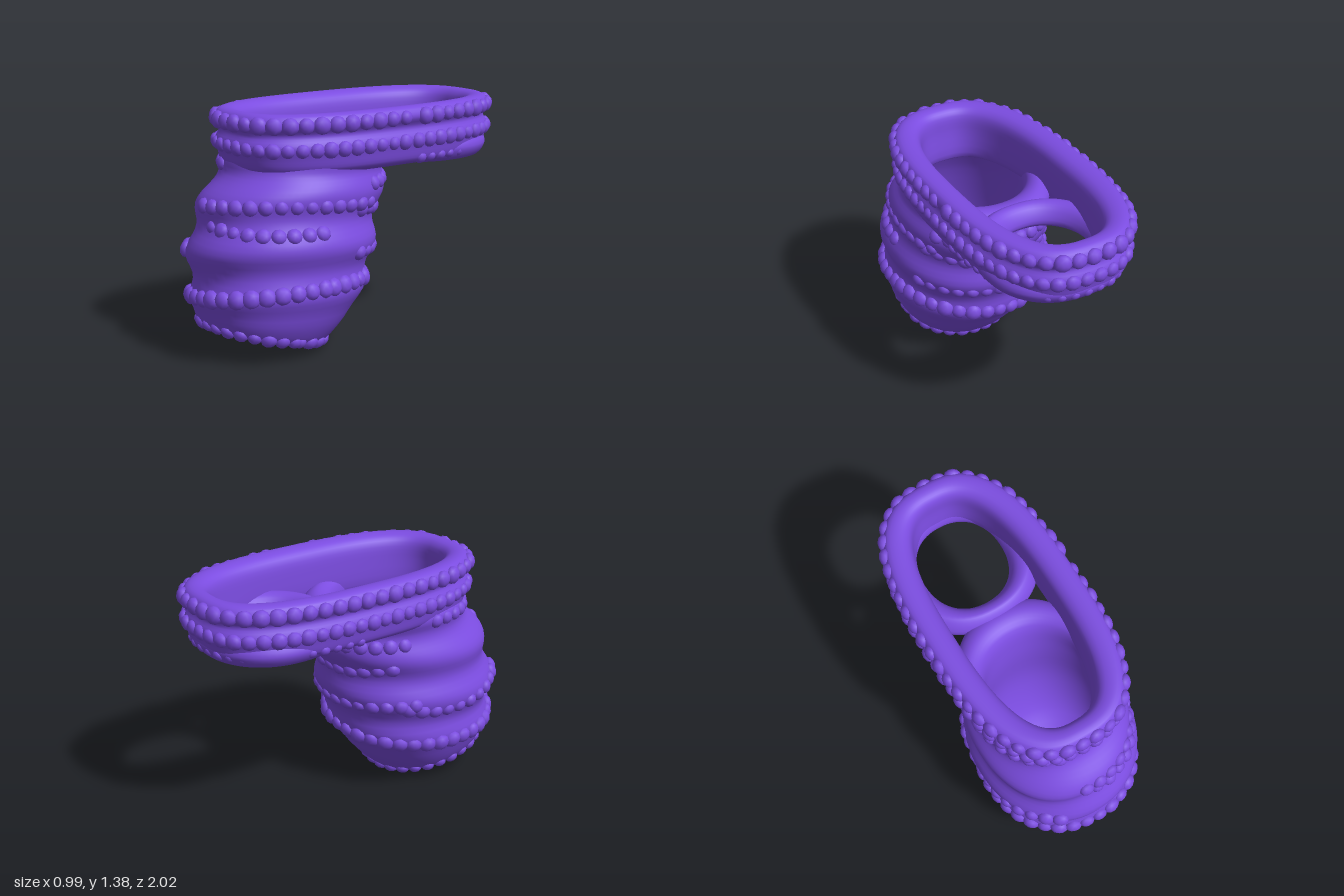
import * as THREE from 'three';
import { mergeGeometries } from 'three/addons/utils/BufferGeometryUtils.js';

const TAU = Math.PI * 2;
const rad = d => d * Math.PI / 180;

// Surface swept through tilted oval sections: [yFront, zFront, yBack, zBack, halfWidth]
// u counts rows, a is the angle (0 = left side, 90 degrees = front)
function ovalSurface(rows, power, relief = () => 0) {
  const n = rows.length;
  const front = new THREE.CatmullRomCurve3(rows.map(r => new THREE.Vector3(r[4], r[0], r[1])), true);
  const back = new THREE.CatmullRomCurve3(rows.map(r => new THREE.Vector3(r[4], r[2], r[3])), true);
  const bend = v => Math.sign(v) * Math.pow(Math.abs(v), power);
  const point = (u, a) => {
    const t = (((u % n) + n) % n) / n;
    const f = front.getPoint(t), b = back.getPoint(t);
    const c = bend(Math.cos(a)), s = bend(Math.sin(a));
    const y = (f.y + b.y) / 2 + (f.y - b.y) / 2 * s;
    const d = relief(t * n, a, y);
    return new THREE.Vector3((f.x + d) * c, y, (f.z + b.z) / 2 + ((f.z - b.z) / 2 + d) * s);
  };
  return { n, point };
}

// Closed mesh geometry over such a surface
function skin(surface, steps, sides) {
  const rows = surface.n * steps, pos = [], index = [];
  for (let r = 0; r < rows; r++) {
    for (let s = 0; s < sides; s++) {
      pos.push(...surface.point(r / steps, s / sides * TAU).toArray());
      const r2 = (r + 1) % rows, s2 = (s + 1) % sides;
      const p = r * sides + s, q = r2 * sides + s, w = r2 * sides + s2, v = r * sides + s2;
      index.push(p, q, w, p, w, v);
    }
  }
  const g = new THREE.BufferGeometry();
  g.setAttribute('position', new THREE.Float32BufferAttribute(pos, 3));
  g.setIndex(index);
  g.computeVertexNormals();
  return g;
}

// Row number at which the outer side of a surface reaches a height
function rowAt(surface, a, y, lo, hi) {
  for (let i = 0; i < 24; i++) {
    const mid = (lo + hi) / 2;
    if (surface.point(mid, a).y < y) lo = mid; else hi = mid;
  }
  return lo;
}

let seed = 7;
const random = () => (seed = (seed * 16807) % 2147483647) / 2147483647;

// String of flattened lumps along a path u(a)
function beadRow(surface, uOf, from, to, size, gap) {
  const bead = new THREE.IcosahedronGeometry(1, 1);
  const parts = [], holder = new THREE.Object3D();
  let last = null;
  for (let a = rad(from); a < rad(to); a += 0.004) {
    const u = uOf(a), p = surface.point(u, a);
    if (last && p.distanceTo(last) < gap) continue;
    last = p;
    const along = surface.point(u, a + 0.02).sub(surface.point(u, a - 0.02));
    const up = surface.point(u + 0.05, a).sub(surface.point(u - 0.05, a));
    const normal = up.cross(along).normalize();
    const s = size * (0.88 + 0.24 * random());
    holder.position.copy(p).addScaledVector(normal, -0.008);
    holder.lookAt(p.clone().add(normal));
    holder.rotateZ(random() * TAU);
    holder.scale.set(s, s, s * 0.75);
    holder.updateMatrix();
    parts.push(bead.clone().applyMatrix4(holder.matrix));
  }
  return mergeGeometries(parts);
}

export function createModel() {
  const model = new THREE.Group();
  const purple = new THREE.MeshStandardMaterial({ color: 0x7b4ce0 });
  purple.name = 'purple';
  const add = (name, geometry) => {
    const mesh = new THREE.Mesh(geometry, purple);
    mesh.name = name;
    model.add(mesh);
  };

  // Hollow body: outside upward, then inside downward, with slanting folds outside
  const body = ovalSurface([
    [0.18, 0.92, 0.02, 0.25, 0.33],
    [0.28, 0.96, 0.22, 0.05, 0.42],
    [0.42, 0.97, 0.42, -0.06, 0.45],
    [0.60, 0.97, 0.60, -0.10, 0.46],
    [0.76, 0.93, 0.76, -0.13, 0.45],
    [0.90, 0.88, 0.90, -0.17, 0.43],
    [1.02, 0.79, 1.00, -0.20, 0.42],
    [1.13, 0.73, 1.10, -0.21, 0.41],
    [1.19, 0.68, 1.15, -0.13, 0.36],
    [1.15, 0.63, 1.11, -0.03, 0.31],
    [0.90, 0.75, 0.90, 0.03, 0.33],
    [0.50, 0.85, 0.50, 0.06, 0.36],
    [0.25, 0.85, 0.20, 0.18, 0.32],
    [0.18, 0.84, 0.04, 0.33, 0.25],
  ], 0.94, (u, a, y) => {
    const fade = Math.max(0, Math.min(1, u - 0.8, 7.2 - u));
    const slant = 0.04 * Math.cos(a) + 0.02 * Math.sin(2 * a);
    return fade * 0.02 * Math.cos(TAU * (y - 0.61 - slant) / 0.28);
  });
  add('body', skin(body, 5, 80));

  // Long oval collar around the top
  const collarRow = (y, rz, w) => [y, -0.1 + rz, y, -0.1 - rz, w];
  const collar = ovalSurface([
    collarRow(1.04, 0.79, 0.37),
    collarRow(1.07, 0.84, 0.43),
    collarRow(1.14, 0.86, 0.45),
    collarRow(1.20, 0.875, 0.46),
    collarRow(1.26, 0.85, 0.435),
    collarRow(1.32, 0.88, 0.465),
    collarRow(1.37, 0.85, 0.44),
    collarRow(1.37, 0.78, 0.355),
    collarRow(1.33, 0.745, 0.31),
    collarRow(1.23, 0.735, 0.295),
    collarRow(1.06, 0.725, 0.305),
  ], 0.74);
  add('collar', skin(collar, 4, 112));

  // Rounded floor ring around the rear opening
  const ringRow = (y, rz, w) => [y, -0.535 + rz, y, -0.535 - rz, w];
  const rearRing = ovalSurface([
    ringRow(1.03, 0.33, 0.31),
    ringRow(1.03, 0.38, 0.38),
    ringRow(1.10, 0.42, 0.42),
    ringRow(1.18, 0.37, 0.36),
    ringRow(1.16, 0.31, 0.285),
    ringRow(1.08, 0.275, 0.25),
  ], 0.9);
  add('rearRing', skin(rearRing, 4, 64));

  // Bead rows on the collar
  add('upperCollarBeads', beadRow(collar, () => 5, 0, 358, 0.047, 0.088));
  add('lowerCollarBeads', beadRow(collar, () => 2.7, 0, 358, 0.044, 0.08));
  add('collarUndersideBeads', beadRow(collar, () => 1, 183, 357, 0.032, 0.075));

  // Bead rows on the body: [name, height rule, start, end, size]
  const bodyRows = [
    ['lowerBandBeads', a => 0.36 + 0.07 * Math.cos(a), 0, 358, 0.05],
    ['upperFrontBeads', a => 0.87 + 0.02 * Math.sin(a * 2), -30, 102, 0.042],
    ['middleFrontBeads', a => 0.76 - 0.02 * Math.cos(a), 5, 93, 0.042],
    ['rightSideBeads', a => 0.55 + 0.04 * Math.cos(a * 3), 118, 210, 0.045],
    ['backBeads', a => 0.60 + 0.04 * Math.sin(a), 205, 335, 0.042],
    ['upperBackBeads', a => 0.80 + 0.03 * Math.cos(a * 2), 215, 345, 0.042],
    ['neckBeads', () => 0.96, 200, 340, 0.042],
    ['shoulderBeads', () => 1.07, 108, 180, 0.04],
  ];
  for (const [name, height, from, to, size] of bodyRows) {
    add(name, beadRow(body, a => rowAt(body, a, height(a), 0, 7), from, to, size, 0.085));
  }
  add('bottomRimBeads', beadRow(body, () => 0.12, 0, 358, 0.042, 0.08));
  return model;
}
